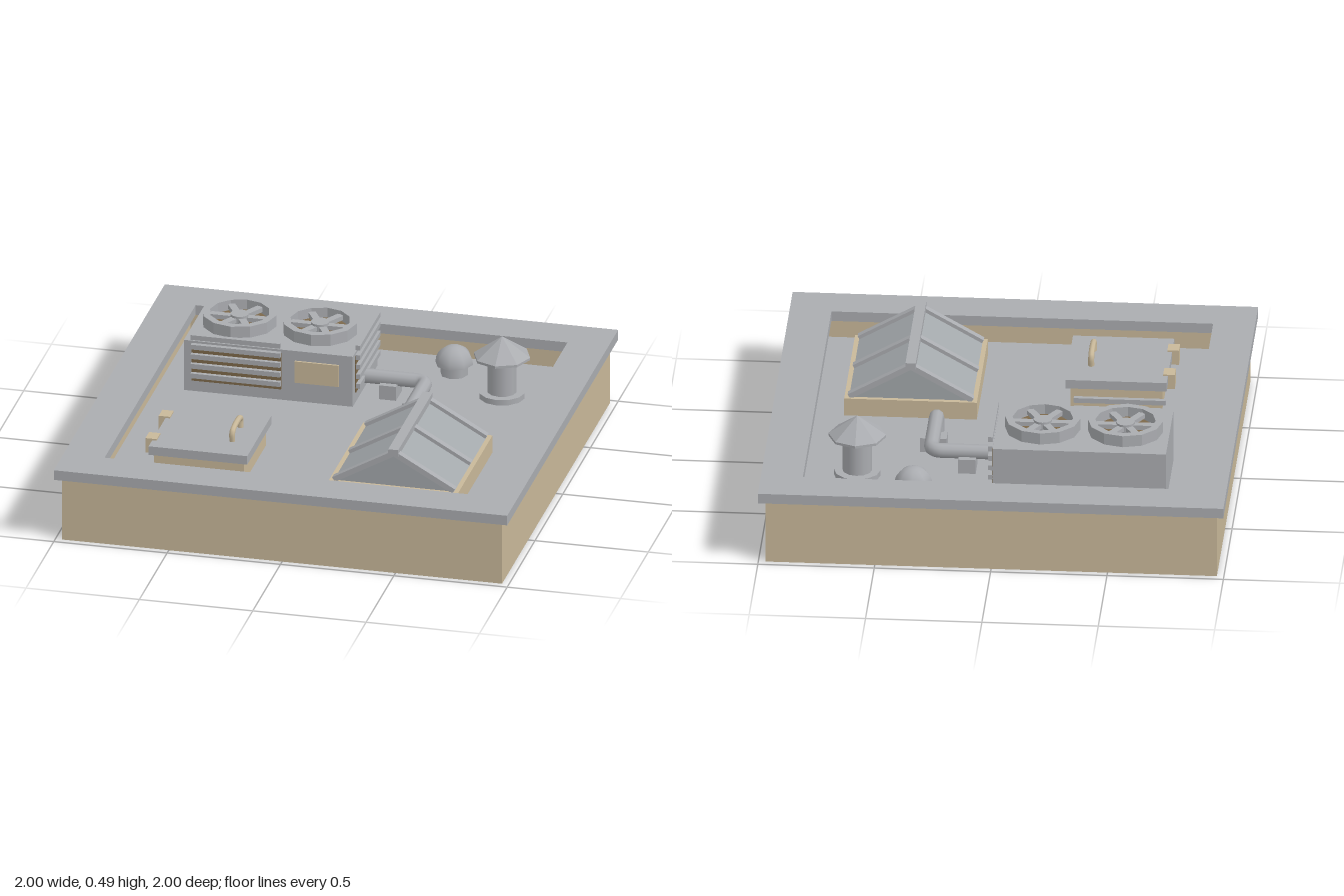
import * as THREE from 'three';

const mat = (name, color) => {
  const m = new THREE.MeshStandardMaterial({ color });
  m.name = name;
  return m;
};

export function createModel() {
  const root = new THREE.Group();
  root.name = 'rooftop';
  const grey = mat('metal grey', 0xaaacb0);
  const tan = mat('sandstone', 0xc8b899);
  const glass = mat('skylight glass', 0xa3a8ab);
  const brown = mat('recess brown', 0x7d694b);
  const greyFlat = mat('metal grey faceted', 0xaaacb0);
  greyFlat.flatShading = true;
  const DECK = 0.2;

  const add = (name, geo, material, parent = root) => {
    const m = new THREE.Mesh(geo, material);
    m.name = name;
    parent.add(m);
    return m;
  };
  // box given by its minimum and maximum corners
  const box = (name, material, x0, x1, y0, y1, z0, z1, parent = root) => {
    const m = add(name, new THREE.BoxGeometry(x1 - x0, y1 - y0, z1 - z0), material, parent);
    m.position.set((x0 + x1) / 2, (y0 + y1) / 2, (z0 + z1) / 2);
    return m;
  };
  const cyl = (name, material, rTop, rBottom, y0, y1, x, z, sides, parent = root) => {
    const m = add(name, new THREE.CylinderGeometry(rTop, rBottom, y1 - y0, sides), material, parent);
    m.position.set(x, (y0 + y1) / 2, z);
    return m;
  };
  // square frame lying flat between two heights
  const squareFrame = (name, material, outer, inner, y0, y1) => {
    const square = (P, r) => new P([[-r, -r], [r, -r], [r, r], [-r, r]].map(p => new THREE.Vector2(...p)));
    const shape = square(THREE.Shape, outer);
    shape.holes.push(square(THREE.Path, inner));
    const g = new THREE.ExtrudeGeometry(shape, { depth: y1 - y0, bevelEnabled: false });
    g.rotateX(-Math.PI / 2).translate(0, y0, 0);
    return add(name, g, material);
  };

  // Building block, parapet and coping
  box('buildingBase', tan, -0.97, 0.97, 0, DECK - 0.01, -0.97, 0.97);
  box('roofDeck', grey, -0.855, 0.855, DECK - 0.01, DECK, -0.855, 0.855);
  squareFrame('parapet', tan, 0.97, 0.85, DECK - 0.01, 0.29);
  squareFrame('coping', grey, 1, 0.82, 0.29, 0.335);

  // Air conditioning unit
  const ac = new THREE.Group();
  ac.name = 'airConditioner';
  root.add(ac);
  box('cabinet', grey, -0.73, 0.015, DECK, 0.435, -0.69, -0.24, ac);
  box('frontGrilleBack', brown, -0.695, -0.3, 0.25, 0.42, -0.24, -0.235, ac);
  box('sideGrilleBack', brown, 0.015, 0.02, 0.25, 0.42, -0.65, -0.28, ac);
  for (let i = 0; i < 5; i++) {
    const y = 0.28 + i * 0.045;
    box('frontSlat', grey, -0.695, -0.3, y - 0.011, y + 0.011, -0.238, -0.217, ac);
    box('sideSlat', grey, 0.017, 0.038, y - 0.011, y + 0.011, -0.65, -0.28, ac);
  }
  box('servicePanel', tan, -0.24, -0.045, 0.29, 0.39, -0.24, -0.231, ac);

  // Fans: open ring, dark well, hub and six spokes
  for (const x of [-0.54, -0.185]) {
    const fan = new THREE.Group();
    fan.name = 'fan';
    fan.position.set(x, 0.435, -0.47);
    ac.add(fan);
    const profile = [[0.13, 0], [0.162, 0], [0.162, 0.052], [0.13, 0.052], [0.13, 0]];
    add('fanRing', new THREE.LatheGeometry(profile.map(p => new THREE.Vector2(...p)), 12), greyFlat, fan);
    cyl('fanWell', brown, 0.132, 0.132, 0, 0.006, 0, 0, 12, fan);
    cyl('fanHub', grey, 0.04, 0.04, 0, 0.045, 0, 0, 12, fan);
    for (let i = 0; i < 3; i++) {
      const spoke = box('fanSpokes', grey, -0.132, 0.132, 0.015, 0.035, -0.016, 0.016, fan);
      spoke.rotation.y = i * Math.PI / 3;
    }
  }

  // Duct pipe running from the unit and down into the deck
  const v = (x, y, z) => new THREE.Vector3(x, y, z);
  const path = new THREE.CurvePath();
  path.add(new THREE.LineCurve3(v(0.01, 0.28, -0.4), v(0.255, 0.28, -0.4)));
  path.add(new THREE.QuadraticBezierCurve3(v(0.255, 0.28, -0.4), v(0.302, 0.28, -0.4), v(0.302, 0.28, -0.35)));
  path.add(new THREE.LineCurve3(v(0.302, 0.28, -0.35), v(0.302, 0.28, -0.08)));
  path.add(new THREE.QuadraticBezierCurve3(v(0.302, 0.28, -0.08), v(0.302, 0.28, -0.04), v(0.302, 0.24, -0.04)));
  path.add(new THREE.LineCurve3(v(0.302, 0.24, -0.04), v(0.302, 0.19, -0.04)));
  add('ductPipe', new THREE.TubeGeometry(path, 48, 0.032, 10), grey);
  box('pipeSupport', grey, 0.105, 0.18, DECK, 0.265, -0.455, -0.345);
  box('pipeSupport', grey, 0.245, 0.36, DECK, 0.265, -0.255, -0.185);

  // Vent stack with conical rain cap
  cyl('ventFlange', grey, 0.1, 0.1, DECK, 0.225, 0.61, -0.5, 12);
  cyl('ventPipe', grey, 0.064, 0.064, DECK, 0.4, 0.61, -0.5, 12);
  cyl('ventCapRim', greyFlat, 0.124, 0.124, 0.383, 0.394, 0.61, -0.5, 8);
  cyl('ventCap', greyFlat, 0, 0.124, 0.394, 0.482, 0.61, -0.5, 8);

  // Small domed vent
  cyl('domeStem', grey, 0.06, 0.06, DECK, 0.255, 0.355, -0.68, 8);
  const dome = add('domeCap', new THREE.SphereGeometry(0.083, 8, 6, 0, Math.PI * 2, 0, Math.PI / 2), grey);
  dome.position.set(0.355, 0.25, -0.68);
  const underside = add('domeUnderside', new THREE.CircleGeometry(0.083, 8), grey);
  underside.rotation.x = Math.PI / 2;
  underside.position.copy(dome.position);

  // Access hatch
  box('hatchCurb', tan, -0.645, -0.25, DECK, 0.295, 0.24, 0.64);
  box('hatchLid', grey, -0.665, -0.23, 0.295, 0.335, 0.22, 0.66);
  for (const z of [0.322, 0.562]) box('hatchHinge', tan, -0.695, -0.645, 0.275, 0.342, z - 0.033, z + 0.033);
  const grip = new THREE.CatmullRomCurve3([
    v(-0.33, 0.33, 0.37), v(-0.33, 0.375, 0.37), v(-0.33, 0.387, 0.395),
    v(-0.33, 0.387, 0.485), v(-0.33, 0.375, 0.52), v(-0.33, 0.33, 0.52)]);
  add('hatchHandle', new THREE.TubeGeometry(grip, 24, 0.013, 8), tan);

  // Gabled skylight
  const sky = new THREE.Group();
  sky.name = 'skylight';
  root.add(sky);
  const cx = 0.425, half = 0.265, eave = 0.28, ridge = 0.43;
  box('skylightCurb', tan, 0.14, 0.71, DECK, eave, 0.08, 0.71, sky);
  const gable = new THREE.Shape([[-half, eave], [half, eave], [0, ridge]].map(p => new THREE.Vector2(...p)));
  const glazing = add('skylightGlazing',
    new THREE.ExtrudeGeometry(gable, { depth: 0.59, bevelEnabled: false }), glass, sky);
  glazing.position.set(cx, 0, 0.1);
  const slope = Math.atan2(ridge - eave, half);
  for (const side of [-1, 1]) {
    for (const z of [0.107, 0.395, 0.683]) {
      const rafter = add('skylightRafter', new THREE.BoxGeometry(Math.hypot(half, ridge - eave), 0.024, 0.032), grey, sky);
      rafter.position.set(cx + side * half / 2, (eave + ridge) / 2 + 0.004, z);
      rafter.rotation.z = -side * slope;
    }
  }
  box('skylightRidge', grey, cx - 0.022, cx + 0.022, 0.425, 0.455, 0.085, 0.705, sky);

  return root;
}
